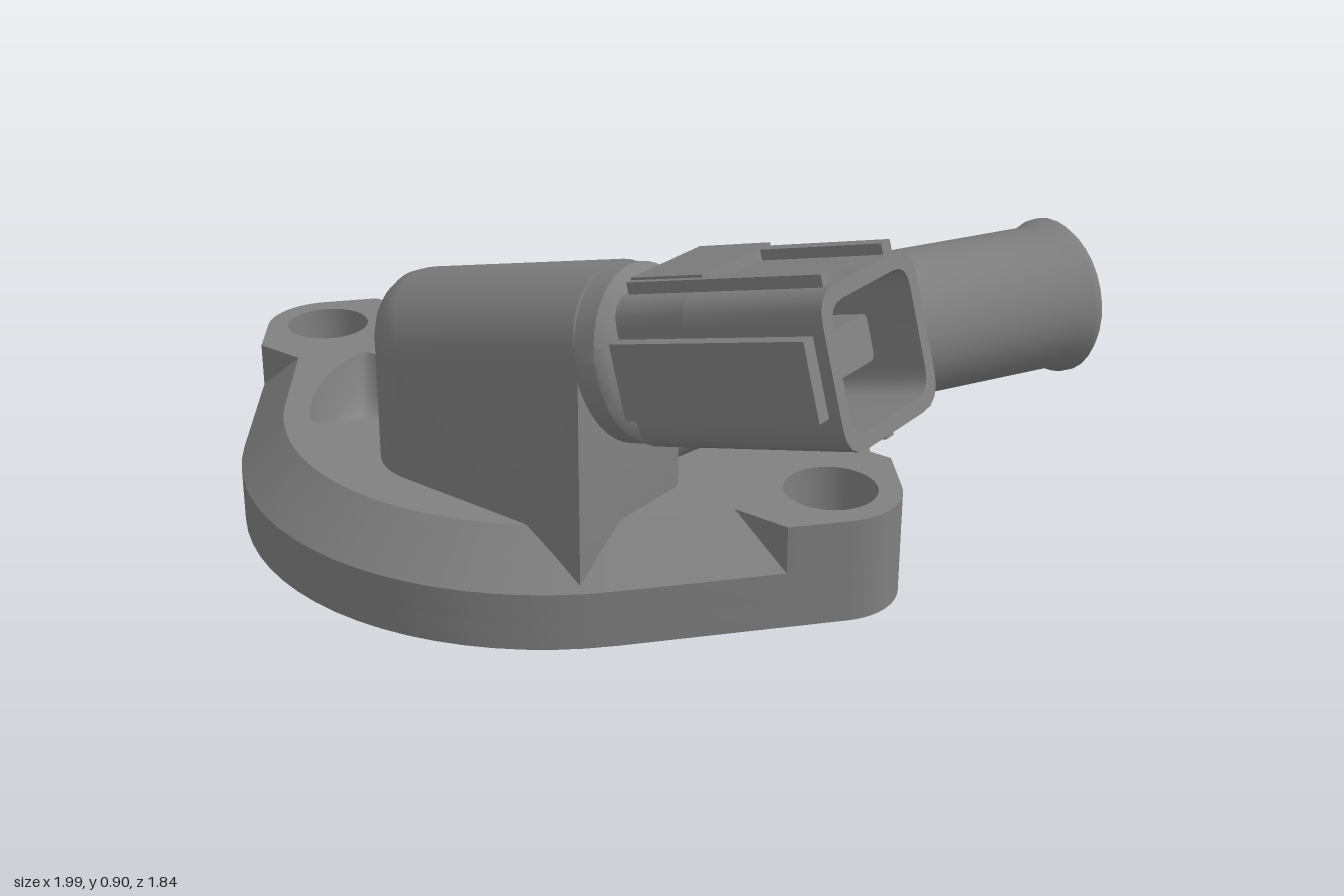
import * as THREE from 'three';
import { toCreasedNormals } from 'three/addons/utils/BufferGeometryUtils.js';

const CX = -0.1, CZ = 0.2;            // flange centre
const R = 0.72, EAR = 0.15, EAR_X = 0.75, INSET = 0.1;
const TAN = Math.acos((R - EAR) / EAR_X); // angle where the straight sides touch the circles
const rad = THREE.MathUtils.degToRad;

// Points [x, z] on an arc, in plan
function arc(cx, cz, r, a0, a1, n) {
  return Array.from({ length: n + 1 }, (_, i) => {
    const a = a0 + ((a1 - a0) * i) / n;
    return [cx + r * Math.cos(a), cz + r * Math.sin(a)];
  });
}

const toShape = (pts) => new THREE.Shape(pts.map((p) => new THREE.Vector2(p[0], p[1])));

// Flat plate from a plan outline with holes, between two heights
function slab(outline, holes, y0, y1) {
  const shape = toShape(outline);
  shape.holes = holes.map(toShape);
  const g = new THREE.ExtrudeGeometry(shape, { depth: y1 - y0, bevelEnabled: false });
  return toCreasedNormals(g.rotateX(Math.PI / 2).translate(0, y1, 0), 0.5);
}

// Skin closed rings of [x, y, z] points, with optional end caps
function loft(rings, capStart, capEnd, crease = 0.6) {
  const n = rings[0].length, index = [];
  for (let i = 0; i < rings.length - 1; i++) {
    for (let j = 0; j < n; j++) {
      const a = i * n + j, b = i * n + ((j + 1) % n);
      index.push(a, b, b + n, a, b + n, a + n);
    }
  }
  const last = (rings.length - 1) * n;
  for (let j = 1; j < n - 1; j++) {
    if (capStart) index.push(0, j + 1, j);
    if (capEnd) index.push(last, last + j, last + j + 1);
  }
  const g = new THREE.BufferGeometry();
  g.setAttribute('position', new THREE.Float32BufferAttribute(rings.flat(2), 3));
  g.setIndex(index);
  return toCreasedNormals(g, crease);
}

// Soften the corners of a plan polygon
function roundCorners(pts, r) {
  return pts.flatMap((p, i) => {
    const v = new THREE.Vector2(...p);
    const near = (q) => {
      const d = new THREE.Vector2(...q).sub(v);
      return v.clone().addScaledVector(d, Math.min(r / d.length(), 0.45));
    };
    const a = near(pts[(i + pts.length - 1) % pts.length]), b = near(pts[(i + 1) % pts.length]);
    return new THREE.QuadraticBezierCurve(a, v, b).getPoints(4).map((q) => [q.x, q.y]);
  });
}

function roundedRect(w, h, r) {
  return roundCorners([[-w, -h], [w, -h], [w, h], [-w, h]], r);
}

export function createModel() {
  const model = new THREE.Group();
  const grey = new THREE.MeshStandardMaterial({ color: 0x808080, side: THREE.DoubleSide });
  grey.name = 'grey plastic';
  const add = (name, geometry, parent = model) => {
    const m = new THREE.Mesh(geometry, grey);
    m.name = name;
    parent.add(m);
    return m;
  };

  // Flange outlines
  const PI = Math.PI;
  const hull = [
    ...arc(CX + EAR_X, CZ, EAR, -TAN, TAN, 12), ...arc(CX, CZ, R, TAN, PI - TAN, 20),
    ...arc(CX - EAR_X, CZ, EAR, PI - TAN, PI + TAN, 12), ...arc(CX, CZ, R, PI + TAN, 2 * PI - TAN, 20),
  ];
  const bolts = [1, -1].map((s) => arc(CX + s * EAR_X, CZ, 0.1, 0, 2 * PI, 32).slice(0, -1));
  const cavity = arc(CX, CZ, 0.57, rad(-63), rad(118), 32);
  const wedges = [[-123, -75, -0.1, 0.1], [-178, -137, -0.19, 0.185], [127, 173, -0.18, 0.27]]
    .map(([a0, a1, x, z]) => roundCorners([...arc(CX, CZ, 0.565, rad(a0), rad(a1), 3), [x, z]], 0.05));

  add('flangeBase', slab(hull, [...bolts, cavity], 0, 0.06));
  add('flangeBody', slab(hull, [...bolts, cavity, ...wedges], 0.06, 0.125));

  // Chamfered rim, interrupted by the two full-height ears
  const band = (r) => (r - 0.2 * Math.sin(TAN)) / Math.cos(TAN);
  const rim = (r) => [
    [CX + 0.63, CZ + 0.2], [CX + band(r), CZ + 0.2], ...arc(CX, CZ, r, TAN, PI - TAN, 20),
    [CX - band(r), CZ + 0.2], [CX - 0.63, CZ + 0.2], [CX - 0.63, CZ - 0.2], [CX - band(r), CZ - 0.2],
    ...arc(CX, CZ, r, PI + TAN, 2 * PI - TAN, 20), [CX + band(r), CZ - 0.2], [CX + 0.63, CZ - 0.2],
  ];
  const lift = (pts, y) => pts.map(([x, z]) => [x, y, z]);
  add('rimChamfer', loft([lift(rim(R), 0.125).reverse(), lift(rim(R - INSET), 0.23).reverse()]));
  add('flangeTop', slab(rim(R - INSET), wedges, 0.21, 0.23));
  for (const s of [1, -1]) {
    const ear = [[0.58, -0.2], [band(R), -0.2], ...arc(EAR_X, 0, EAR, -TAN, TAN, 12), [band(R), 0.2], [0.58, 0.2]]
      .map(([x, z]) => [CX + s * x, CZ + z]);
    add(s > 0 ? 'leftEar' : 'rightEar', slab(ear, [bolts[s > 0 ? 0 : 1]], 0.125, 0.23));
  }

  // Hollow under the flange
  add('undersideCavity', loft([lift(cavity, 0.125), lift(cavity, 0.2)], false, true));

  // Tapered wedge pockets in the top
  for (const w of wedges) {
    const mx = w.reduce((s, p) => s + p[0], 0) / w.length, mz = w.reduce((s, p) => s + p[1], 0) / w.length;
    const ring = (k, y) => w.map(([x, z]) => [mx + (x - mx) * k, y, mz + (z - mz) * k]).reverse();
    add('wedgePocket', loft([ring(1, 0.23), ring(0.86, 0.13), ring(0.72, 0.1), ring(0.4, 0.08)], false, true, 0.9));
  }

  // Sensor riser: round-ended column under a sloping barrel top
  const Z0 = 0.548, RR = 0.163, slope = Math.tan(rad(14.5));
  const riser = [];
  for (let i = 0; i <= 24; i++) {
    const t = (PI * i) / 24, c = Math.cos(t), s = Math.sin(t);
    const z = Z0 + RR * c, xl = -0.09 - RR * s, xr = 0.34 + 0.05 * (1 - s);
    const top = (x) => 0.487 + slope * (x + 0.09) + RR * 1.03 * s;
    const k = 0.03 + 0.05 * s;
    riser.push([
      [0.25, 0.2], [xl, 0.2], [xl, top(xl) - k], [xl + 0.1 * k, top(xl) - 0.55 * k], [xl + 0.3 * k, top(xl) - 0.2 * k],
      [xl + 0.6 * k, top(xl + 0.6 * k) - 0.06 * k], [xl + k, top(xl + k)], [xr, top(xr)],
      [0.39, 0.42], [0.39, z > 0.58 ? 0.13 : 0.2],
    ].map(([x, y]) => [x, y, z]));
  }
  add('sensorRiser', loft(riser, true, true));

  // Outlet: wide neck that turns into a straight hose pipe with a flared, hollow end
  const D = [0.447, -0.894];
  const along = (s) => [0.64 - D[0] * s, -0.84 - D[1] * s];
  const station = ([x, z], [dx, dz], w, h = w) => Array.from({ length: 32 }, (_, j) => {
    const a = (2 * PI * j) / 32, l = Math.hypot(dx, dz), c = (w * Math.cos(a)) / l;
    const y = 0.345 + h * Math.sin(a);
    return [x + dz * c, z > -0.2 ? Math.max(y, 0.21) : y, z - dx * c];
  });
  const H = 0.175;
  add('outletPipe', loft([
    station([0.12, 0.47], [0, -1], 0.25, H),
    station([0.12, 0.28], [0.05, -1], 0.25, H),
    station([0.15, 0.12], [0.25, -0.97], 0.245, H),
    station([0.185, 0.03], [0.38, -0.92], 0.225, H),
    station(along(0.9), D, 0.195, H),
    station(along(0.82), D, 0.175),
    station(along(0.6), D, 0.175),
    station(along(0.06), D, 0.175),
    station(along(0.03), D, 0.19),
    station(along(0.015), D, 0.19),
    station(along(0), D, 0.177),
    station(along(0), D, 0.15),
    station(along(0.03), D, 0.14),
    station(along(0.6), D, 0.135),
  ], true, true));

  // Sensor plug, tilted upward along its own x axis
  const plug = new THREE.Group();
  plug.name = 'sensorPlug';
  plug.position.set(0.4, 0.59, Z0);
  plug.rotation.z = rad(15);
  model.add(plug);

  const collar = [[0, -0.04], [0.15, -0.04], [0.18, -0.01], [0.18, 0.04], [0.165, 0.06], [0.135, 0.075],
    [0.135, 0.09], [0.155, 0.105], [0.155, 0.13], [0, 0.13]].map((p) => new THREE.Vector2(...p));
  const collarGeo = new THREE.LatheGeometry(collar, 40).rotateZ(-PI / 2).scale(1, 1, 0.91);
  add('plugCollar', toCreasedNormals(collarGeo, 0.6), plug);

  const outer = roundedRect(0.158, 0.152, 0.06), inner = roundedRect(0.13, 0.122, 0.045);
  const prism = (pts, holes, x0, x1) => {
    const shape = toShape(pts);
    shape.holes = holes.map(toShape);
    const g = new THREE.ExtrudeGeometry(shape, { depth: x1 - x0, bevelEnabled: false });
    return toCreasedNormals(g.rotateY(PI / 2).translate(x0, 0, 0), 0.6);
  };
  add('plugBase', prism(outer, [], 0.11, 0.27), plug);
  add('plugSocket', prism(outer, [inner], 0.27, 0.575), plug);
  add('socketTongue', prism(roundedRect(0.085, 0.045, 0.015), [], 0.26, 0.5), plug);

  // Ribs and keys on the plug: x range, centre y and z, height, depth
  const rib = (name, x0, x1, y, z, h, d) => add(name,
    new THREE.BoxGeometry(x1 - x0, h, d).translate((x0 + x1) / 2, y, z), plug);
  rib('topKey', 0.12, 0.29, 0.158, -0.01, 0.04, 0.22);
  rib('bottomRib', 0.14, 0.56, -0.155, 0, 0.02, 0.025);
  for (const s of [1, -1]) {
    rib('topRib', 0.12, 0.56, 0.158, s * 0.1, 0.03, 0.03);
    rib('sideRib', 0.11, 0.55, 0, s * 0.168, 0.15, 0.04);
  }
  return model;
}
